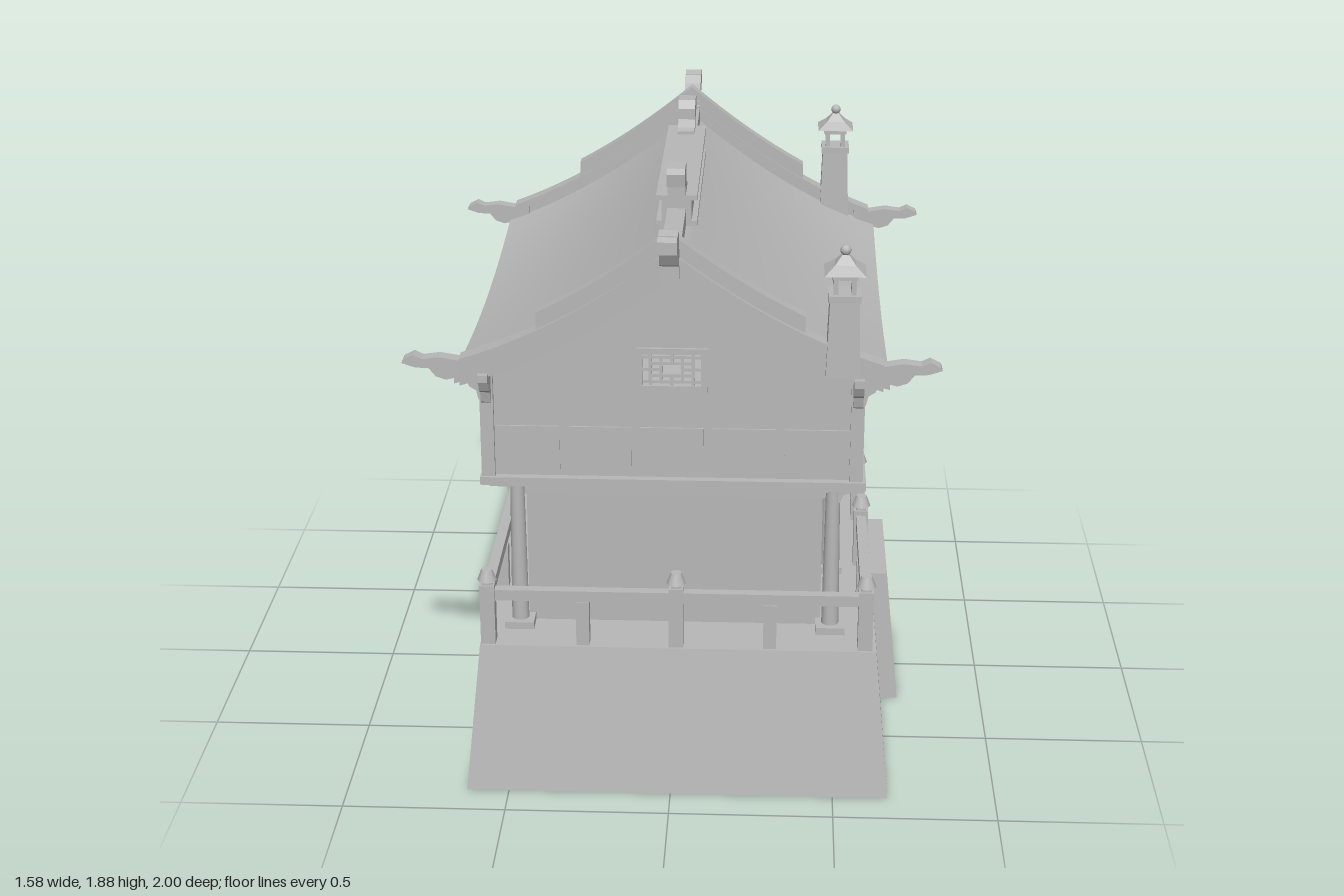
import * as THREE from 'three';

const stone = new THREE.MeshStandardMaterial({ color: 0xb8b8b8, side: THREE.DoubleSide });
stone.name = 'plain grey';

export function createModel() {
  const root = new THREE.Group();
  root.name = 'pavilion';
  const add = (name, geo, parent = root) => {
    const m = new THREE.Mesh(geo, stone);
    m.name = name;
    parent.add(m);
    return m;
  };
  // box given by its limits
  const box = (name, x0, x1, y0, y1, z0, z1, parent = root) =>
    add(name, new THREE.BoxGeometry(x1 - x0, y1 - y0, z1 - z0)
      .translate((x0 + x1) / 2, (y0 + y1) / 2, (z0 + z1) / 2), parent);
  const post = (name, x, z, y0, y1, w, parent = root) =>
    box(name, x - w / 2, x + w / 2, y0, y1, z - w / 2, z + w / 2, parent);
  const rectPath = ([x, y, w, h]) => new THREE.Path([[-1, -1], [-1, 1], [1, 1], [1, -1]]
    .map(([i, j]) => new THREE.Vector2(x + i * w / 2, y + j * h / 2)));
  const plate = (pts, depth, holes = []) => {
    const s = new THREE.Shape(pts.map(p => new THREE.Vector2(...p)));
    s.holes = holes.map(rectPath);
    return new THREE.ExtrudeGeometry(s, { depth, bevelEnabled: false }).translate(0, 0, -depth / 2);
  };

  // hollow block with sloping sides and no underside
  const slopedBlock = (name, [x0, x1, z0, z1], [X0, X1, Z0, Z1], h) => {
    const g = new THREE.BoxGeometry(1, 1, 1);
    const p = g.attributes.position;
    for (let i = 0; i < p.count; i++) {
      const top = p.getY(i) > 0, r = p.getX(i) > 0, f = p.getZ(i) > 0;
      p.setXYZ(i, top ? (r ? X1 : X0) : (r ? x1 : x0), top ? h : 0, top ? (f ? Z1 : Z0) : (f ? z1 : z0));
    }
    const idx = Array.from(g.index.array);
    idx.splice(18, 6);
    g.setIndex(idx);
    g.computeVertexNormals();
    add(name, g);
  };
  slopedBlock('terrace', [-0.63, 0.67, -0.885, 0.885], [-0.585, 0.625, -0.81, 0.81], 0.465);
  slopedBlock('entranceBlock', [0.6, 0.725, -0.24, 0.24], [0.6, 0.68, -0.215, 0.215], 0.445);

  // railing
  const railPost = (x, z) => {
    post('railPost', x, z, 0.46, 0.66, 0.045);
    post('railPostNeck', x, z, 0.66, 0.672, 0.032);
    add('railPostCap', new THREE.CylinderGeometry(0.017, 0.03, 0.035, 8).translate(x, 0.69, z));
  };
  for (const x of [-0.56, 0.59]) for (const z of [-0.78, 0.78]) railPost(x, z);
  for (const z of [-0.78, 0.78]) {
    railPost(0.015, z);
    box('endRail', -0.56, 0.59, 0.61, 0.645, z - 0.016, z + 0.016);
    for (const x of [-0.27, 0.3]) post('railSupport', x, z, 0.46, 0.61, 0.04);
  }
  for (const s of [-1, 1]) {
    railPost(0.59, s * 0.18);
    const z = s * 0.48;
    box('entranceRail', 0.574, 0.606, 0.61, 0.645, z - 0.3, z + 0.3);
    post('railSupport', 0.59, z, 0.46, 0.61, 0.04);
    post('railSupport', -0.56, s * 0.39, 0.46, 0.61, 0.04);
  }
  railPost(-0.56, 0);
  box('backRail', -0.576, -0.544, 0.61, 0.645, -0.78, 0.78);

  // lattice in the XY plane, framed, w by h outside
  const lattice = (name, w, h, x, y, z, turn) => {
    const g = new THREE.Group();
    g.name = name;
    const f = 0.018, b = 0.009, W = w / 2 - f / 2, H = h / 2 - f / 2;
    add('frame', plate([[-w / 2, -h / 2], [w / 2, -h / 2], [w / 2, h / 2], [-w / 2, h / 2]], 0.03,
      [[0, 0, w - 2 * f, h - 2 * f]]), g);
    const bar = (x0, x1, y0, y1) => box('bar', x0 - b / 2, x1 + b / 2, y0 - b / 2, y1 + b / 2, -0.008, 0.008, g);
    for (const s of [-1, 1]) {
      bar(s * W * 0.66, s * W * 0.66, -H, H);
      bar(-W, W, s * H * 0.66, s * H * 0.66);
      bar(s * W * 0.33, s * W * 0.33, -H * 0.66, H * 0.66);
      bar(-W * 0.66, W * 0.66, s * H * 0.33, s * H * 0.33);
      bar(0, 0, Math.min(s * H * 0.33, s * H), Math.max(s * H * 0.33, s * H));
      bar(Math.min(s * W * 0.33, s * W), Math.max(s * W * 0.33, s * W), 0, 0);
    }
    g.position.set(x, y, z);
    if (turn) g.rotation.y = Math.PI / 2;
    root.add(g);
  };

  // ground floor
  const sideWall = (name, x, half, y0, y1, holes) =>
    add(name, plate([[-half, y0], [half, y0], [half, y1], [-half, y1]], 0.02, holes).rotateY(Math.PI / 2).translate(x, 0, 0));
  const lowerHoles = [-0.41, 0.41].map(z => [z, 0.755, 0.17, 0.17]);
  for (const x of [-0.44, 0.3]) {
    sideWall('lowerLongWall', x, 0.62, 0.465, 0.975, lowerHoles);
    for (const z of [-0.41, 0.41]) lattice('lowerWindow', 0.2, 0.2, x, 0.755, z, true);
  }
  for (const s of [-1, 1]) {
    box('lowerEndWall', -0.45, 0.455, 0.465, 0.975, s * 0.615 - 0.012, s * 0.615 + 0.012);
    box('endLintel', -0.48, 0.49, 0.9, 0.975, s * 0.625 - 0.02, s * 0.625 + 0.02);
    box('doorLeaf', 0.3, 0.318, 0.465, 0.9, s * 0.07 - 0.066, s * 0.07 + 0.066);
    lattice('doorLattice', 0.11, 0.225, 0.318, 0.77, s * 0.07, true);
    box('doorJamb', 0.3, 0.33, 0.465, 0.9, s * 0.15 - 0.012, s * 0.15 + 0.012);
  }
  box('porchLintel', 0.3, 0.325, 0.9, 0.975, -0.61, 0.61);
  const column = (x, z) => {
    add('column', new THREE.CylinderGeometry(0.021, 0.027, 0.51, 16).translate(x, 0.72, z));
    post('columnBase', x, z, 0.465, 0.488, 0.09);
  };
  // curved bracket profile, reaching out by w and down by h
  const bracket = (w, h) => [[0, 0], [w, 0], [w, -0.2 * h], [0.75 * w, -0.28 * h], [0.6 * w, -0.5 * h],
    [0.3 * w, -0.62 * h], [0.2 * w, -0.9 * h], [0, -h]];
  for (const z of [-0.655, -0.225, 0.225, 0.655]) {
    column(0.485, z);
    add('porchBracket', plate(bracket(0.085, 0.085), 0.03).translate(0.49, 0.975, z));
    box('porchBeam', 0.3, 0.49, 0.93, 0.975, z - 0.014, z + 0.014);
  }
  for (const z of [-0.655, 0.655]) column(-0.475, z);

  // upper floor
  box('upperFloor', -0.575, 0.58, 0.975, 1.0, -0.755, 0.755);
  box('upperFloorBeam', -0.55, 0.555, 0.96, 0.975, -0.73, 0.73);
  const ventZ = [-0.57, -0.345, -0.11, 0.11, 0.345, 0.57];
  for (const s of [-1, 1]) {
    sideWall('upperLongWall', s * 0.545, 0.72, 1.0, 1.3, ventZ.map(z => [z, 1.235, 0.17, 0.07]));
    box('sideStringCourse', s * 0.56 - 0.008, s * 0.56 + 0.008, 1.165, 1.185, -0.72, 0.72);
    for (const z of ventZ) {
      box('sidePanel', s * 0.557 - 0.004, s * 0.557 + 0.004, 1.02, 1.155, z - 0.105, z + 0.105);
      for (const k of [-0.06, -0.03, 0, 0.03, 0.06])
        box('ventBar', s * 0.545 - 0.006, s * 0.545 + 0.006, 1.2, 1.27, z + k - 0.004, z + k + 0.004);
      for (const y of [1.225, 1.248])
        box('ventRail', s * 0.545 - 0.005, s * 0.545 + 0.005, y - 0.004, y + 0.004, z - 0.085, z + 0.085);
    }
    for (const t of [-1, 1]) {
      post('cornerPost', s * 0.55, t * 0.725, 1.0, 1.33, 0.04);
      add('eaveBracket', plate(bracket(0.065, 0.1).map(([x, y]) => [s * x, y]), 0.03).translate(s * 0.56, 1.335, t * 0.725));
      add('vergeBracket', plate(bracket(0.085, 0.12).map(([x, y]) => [t * x, y]), 0.03)
        .rotateY(-Math.PI / 2).translate(s * 0.55, 1.35, t * 0.735));
    }
  }

  // roof rules: concave slope, drooping eave middle, verge swept outward at the ridge
  const slope = a => 1.71 - 0.82 * a + 0.38 * a * a;
  const verge = a => 0.84 - 0.07 * a / 0.64;
  const warp = (g, rule) => {
    const p = g.attributes.position;
    for (let i = 0; i < p.count; i++) {
      const x = p.getX(i), y = p.getY(i), z = p.getZ(i);
      p.setXYZ(i, x, ...rule(Math.abs(x), y, z));
    }
    g.computeVertexNormals();
    return g;
  };
  add('roof', warp(new THREE.BoxGeometry(1.28, 0.035, 2, 24, 1, 12), (a, y, z) =>
    [slope(a) + y - 0.018 - 0.05 * (a / 0.64) * (1 - z * z), z * verge(a)]));

  // gables, verge beams and their hooks
  const gable = [[-0.55, 1.0], [0.55, 1.0]];
  for (let i = 0; i <= 12; i++) {
    const x = 0.55 - 1.1 * i / 12;
    gable.push([x, slope(Math.abs(x)) - 0.03]);
  }
  const eaveHook = [[0.57, 1.33], [0.62, 1.335], [0.66, 1.325], [0.69, 1.335], [0.71, 1.36], [0.75, 1.362],
    [0.79, 1.375], [0.785, 1.385], [0.755, 1.4], [0.73, 1.388], [0.68, 1.395], [0.62, 1.385], [0.57, 1.405]];
  const endHook = [[0.78, 1.69], [0.85, 1.695], [0.89, 1.72], [0.915, 1.765], [0.95, 1.772], [0.965, 1.79],
    [0.98, 1.78], [1, 1.785], [1, 1.822], [0.975, 1.83], [0.94, 1.822], [0.9, 1.828], [0.875, 1.805],
    [0.86, 1.765], [0.83, 1.748], [0.78, 1.745]];
  const ridgeHook = [[0.29, 1.76], [0.405, 1.76], [0.405, 1.81], [0.43, 1.828], [0.455, 1.82], [0.46, 1.86],
    [0.44, 1.873], [0.37, 1.875], [0.35, 1.85], [0.35, 1.815], [0.32, 1.795], [0.29, 1.79]];
  for (const s of [-1, 1]) {
    add('gableWall', plate(gable, 0.02, [[0, 1.345, 0.175, 0.1]]).translate(0, 0, s * 0.72));
    lattice('gableWindow', 0.21, 0.135, 0, 1.345, s * 0.725, false);
    for (let i = -2; i <= 2; i++)
      box('gablePanel', i * 0.215 - 0.095, i * 0.215 + 0.095, 1.022, 1.16, s * 0.732 - 0.004, s * 0.732 + 0.004);
    add('vergeBeam', warp(new THREE.BoxGeometry(1.24, 0.08, 0.04, 24), (a, y, z) =>
      [slope(a) + y, z + s * verge(a)]));
    add('vergeMoulding', warp(new THREE.BoxGeometry(1.24, 0.022, 0.06, 24), (a, y, z) =>
      [slope(a) + y + 0.035, z + s * verge(a)]));
    add('vergeCap', warp(new THREE.BoxGeometry(0.78, 0.05, 0.045, 16), (a, y, z) =>
      [slope(a) + y + 0.072, z + s * (verge(a) - 0.005)]));
    for (const t of [-1, 1])
      add('eaveHook', plate(eaveHook.map(([x, y]) => [t * x, y]), 0.045).translate(0, 0, s * verge(0.66)));
    for (const [name, pts] of [['ridgeEndHook', endHook], ['ridgeHook', ridgeHook]])
      add(name, plate(pts.map(([u, v]) => [s * u, v]), 0.055).rotateY(-Math.PI / 2));
    box('ridgeEndBlock', -0.028, 0.028, 1.67, 1.76, s * 0.84 - 0.04, s * 0.84 + 0.04);
  }

  // ridge
  box('ridgeBeam', -0.028, 0.028, 1.66, 1.74, -0.84, 0.84);
  box('ridgeCrest', -0.045, 0.045, 1.69, 1.765, -0.405, 0.405);
  box('ridgeCrestCap', -0.062, 0.062, 1.765, 1.78, -0.405, 0.405);
  box('ridgeCrestFoot', -0.062, 0.062, 1.685, 1.7, -0.405, 0.405);

  // lantern chimneys
  for (const z of [-0.79, 0.79]) {
    const g = new THREE.Group();
    g.name = 'lanternChimney';
    const x = 0.5, turned = (top, bottom, h, y) =>
      new THREE.CylinderGeometry(top * Math.SQRT2, bottom * Math.SQRT2, h, 4).toNonIndexed().rotateY(Math.PI / 4).translate(x, y, z);
    const shaft = (name, geo) => { geo.computeVertexNormals(); add(name, geo, g); };
    shaft('shaft', turned(0.042, 0.05, 0.24, 1.485));
    post('collar', x, z, 1.595, 1.615, 0.095, g);
    for (const i of [-1, 1]) for (const j of [-1, 1])
      post('lanternPost', x + i * 0.026, z + j * 0.026, 1.615, 1.67, 0.014, g);
    post('lanternHead', x, z, 1.66, 1.678, 0.075, g);
    shaft('lanternEave', turned(0.03, 0.06, 0.025, 1.69));
    shaft('lanternRoof', turned(0.01, 0.03, 0.025, 1.715));
    add('finial', new THREE.SphereGeometry(0.016, 10, 8).translate(x, 1.74, z), g);
    root.add(g);
  }
  return root;
}
